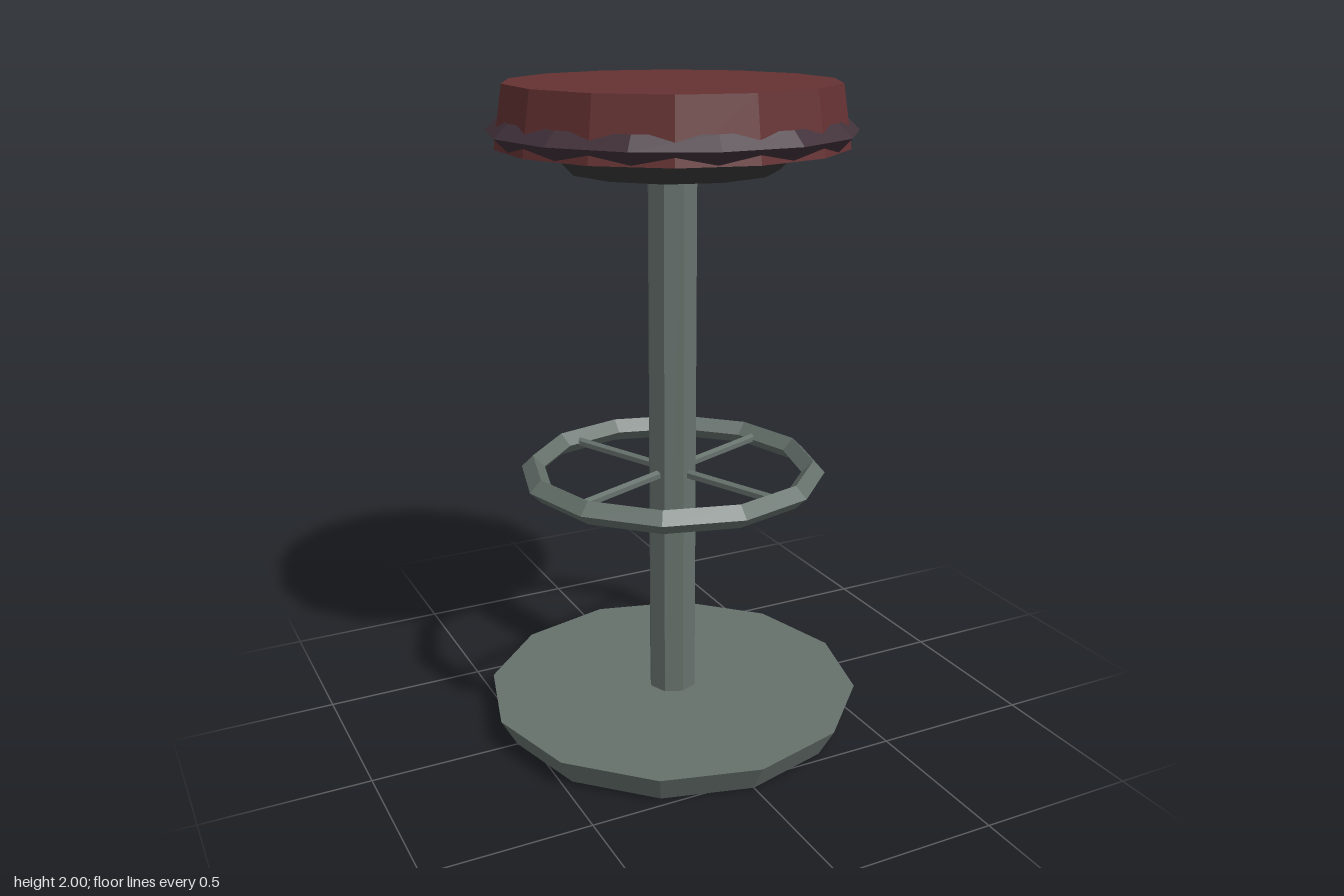
import * as THREE from 'three';

export function createModel() {
  const group = new THREE.Group();
  const material = (color) => new THREE.MeshStandardMaterial({ color, flatShading: true });
  const metal = material(0x66716c);
  const leather = material(0x663233);
  const piping = material(0x42313a);
  const dark = material(0x3a3838);

  const add = (name, geometry, mat) => {
    const mesh = new THREE.Mesh(geometry, mat);
    mesh.name = name;
    group.add(mesh);
    return mesh;
  };
  // Tapered drum standing between two heights
  const drum = (name, rTop, rBottom, y0, y1, sides, mat) => {
    const geometry = new THREE.CylinderGeometry(rTop, rBottom, y1 - y0, sides);
    return add(name, geometry.translate(0, (y0 + y1) / 2, 0), mat);
  };
  // Horizontal ring with a diamond section
  const ring = (name, radius, tube, y, sides, mat) => {
    const geometry = new THREE.TorusGeometry(radius, tube, 4, sides);
    return add(name, geometry.rotateX(Math.PI / 2).translate(0, y, 0), mat);
  };

  // Base and column
  drum('base', 0.59, 0.54, 0, 0.09, 12, metal);
  drum('column', 0.076, 0.076, 0.09, 1.75, 8, metal);

  // Footrest ring on four spokes, each leaving a face of the column
  const footY = 0.825;
  ring('footrestRing', 0.435, 0.036, footY, 12, metal);
  for (let i = 0; i < 4; i++) {
    const spoke = new THREE.CylinderGeometry(0.015, 0.015, 0.37, 6);
    spoke.rotateX(Math.PI / 2).translate(0, footY, 0.235);
    spoke.rotateY(Math.PI / 8 + (i * Math.PI) / 2);
    add('footrestSpoke', spoke, metal);
  }

  // Seat: support, cushion and piping
  drum('seatSupport', 0.38, 0.31, 1.75, 1.82, 12, dark);
  drum('seatCushion', 0.488, 0.515, 1.82, 2, 14, leather);
  ring('seatPiping', 0.5, 0.04, 1.862, 14, piping);

  return group;
}
